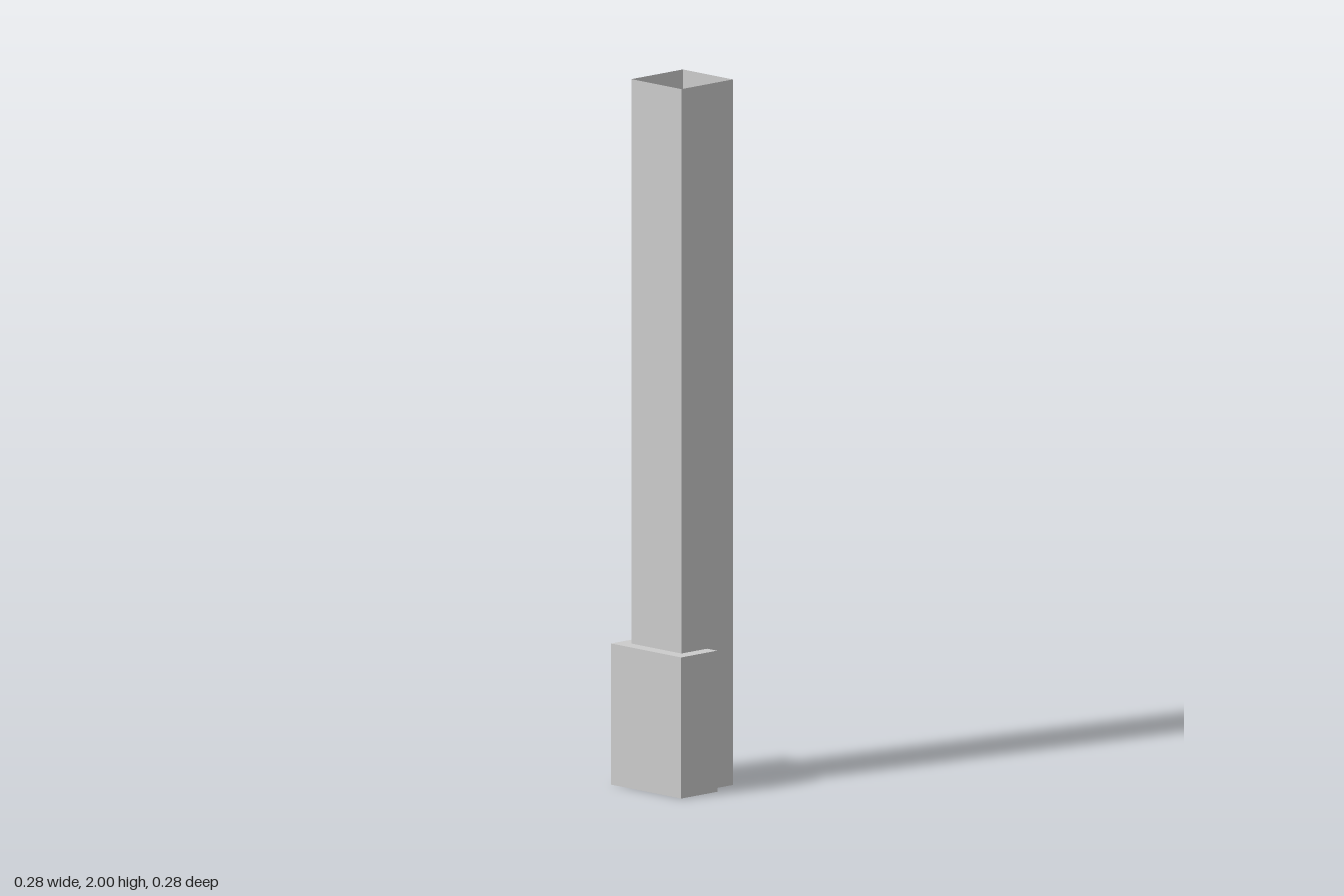
import * as THREE from 'three';
import { mergeGeometries } from 'three/addons/utils/BufferGeometryUtils.js';

const T = 0.1;     // half width of the shaft
const B = 0.14;    // half width of the base
const STEP = 0.4;  // height of the base
const TOP = 2;

// Upright sheet walls along a closed [x, z] outline, facing outward
function walls(outline, y0, y1) {
  return mergeGeometries(outline.map(([ax, az], i) => {
    const [bx, bz] = outline[(i + 1) % outline.length];
    const plane = new THREE.PlaneGeometry(Math.hypot(bx - ax, bz - az), y1 - y0);
    plane.rotateY(-Math.atan2(bz - az, bx - ax));
    return plane.translate((ax + bx) / 2, (y0 + y1) / 2, (az + bz) / 2);
  }));
}

export function createModel() {
  const model = new THREE.Group();
  model.name = 'column';
  const material = new THREE.MeshStandardMaterial({ color: 0xcccccc, side: THREE.DoubleSide });
  const add = (name, geometry) => {
    const mesh = new THREE.Mesh(geometry, material);
    mesh.name = name;
    model.add(mesh);
  };

  // Square hollow shaft, open at the top
  add('shaft', walls([[-T, -T], [-T, T], [T, T], [T, -T]], STEP, TOP));

  // Wider base, notched back to the shaft at one rear corner, open below
  const baseOutline = [[-B, -B], [-B, B], [B, B], [B, 0], [T, 0], [T, -T], [0, -T], [0, -B]];
  add('base', walls(baseOutline, 0, STEP));

  // Ledge between the base and the shaft
  const ledgeOutline = [[-B, -B], [-B, B], [B, B], [B, 0], [T, 0], [T, T], [-T, T], [-T, -T], [0, -T], [0, -B]];
  const ledge = new THREE.ShapeGeometry(
    new THREE.Shape(ledgeOutline.map(([x, z]) => new THREE.Vector2(x, -z))));
  add('ledge', ledge.rotateX(-Math.PI / 2).translate(0, STEP, 0));

  return model;
}
